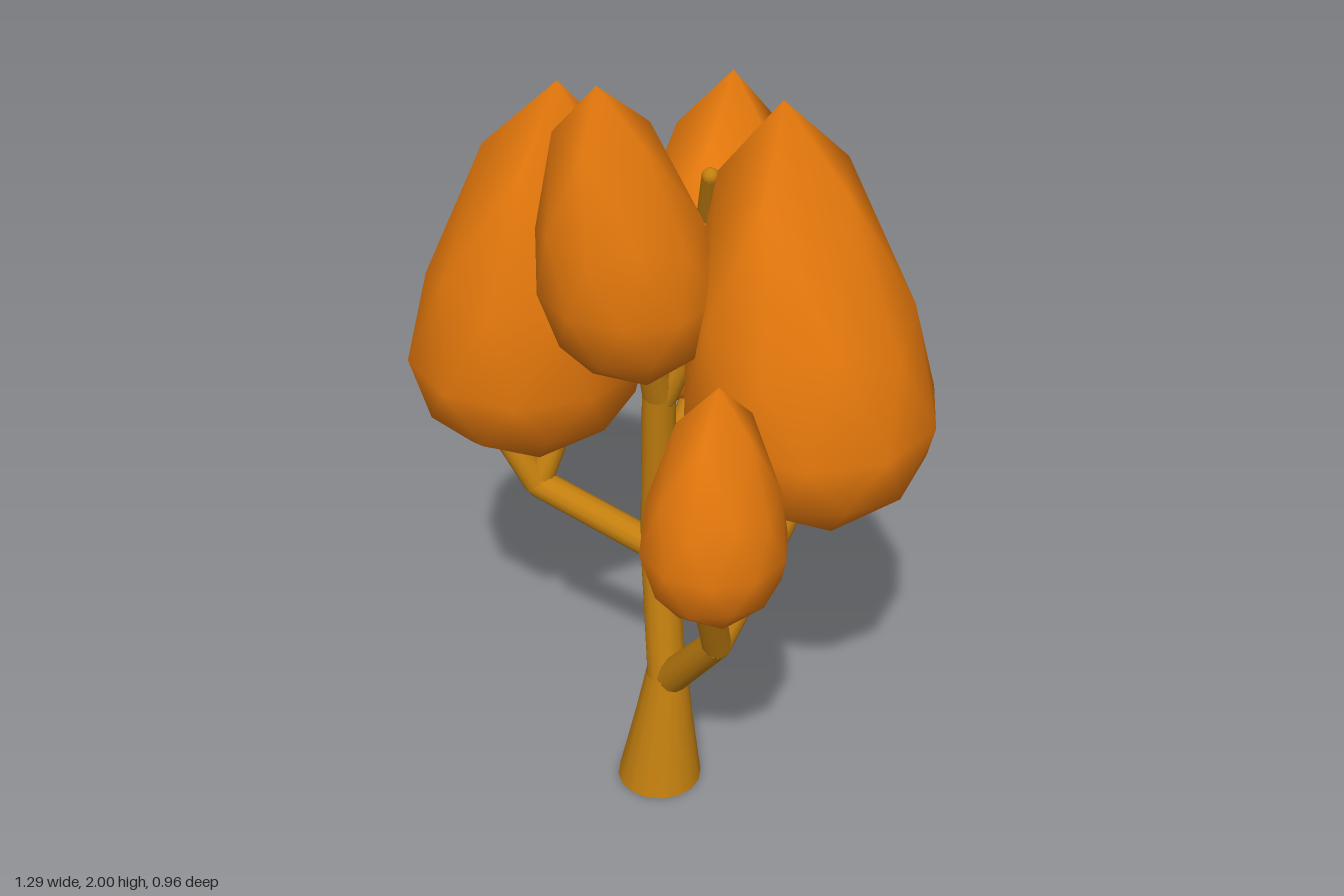
import * as THREE from 'three';
import { mergeVertices } from 'three/addons/utils/BufferGeometryUtils.js';

const bark = new THREE.MeshStandardMaterial({ color: 0xc37f0f, side: THREE.DoubleSide });
bark.name = 'bark';
const leaves = new THREE.MeshStandardMaterial({ color: 0xe4780c });
leaves.name = 'orange leaves';

// Tapered limb through points [x, y, z, radius], with rounded joints
function limb(name, points) {
  const group = new THREE.Group();
  group.name = name;
  for (let i = 0; i < points.length - 1; i++) {
    const [ax, ay, az, ar] = points[i];
    const [bx, by, bz, br] = points[i + 1];
    const a = new THREE.Vector3(ax, ay, az);
    const b = new THREE.Vector3(bx, by, bz);
    const dir = b.clone().sub(a);
    const mesh = new THREE.Mesh(new THREE.CylinderGeometry(br, ar, dir.length(), 12), bark);
    mesh.name = name + 'Segment';
    mesh.position.copy(a).add(b).multiplyScalar(0.5);
    mesh.quaternion.setFromUnitVectors(new THREE.Vector3(0, 1, 0), dir.normalize());
    group.add(mesh);
    const joint = new THREE.Mesh(new THREE.SphereGeometry(br, 12, 8), bark);
    joint.name = name + 'Joint';
    joint.position.copy(b);
    group.add(joint);
  }
  return group;
}

// Low-poly teardrop crown: a sphere drawn up to a leaning point
function crown(name, [cx, cz], radius, [bottom, middle, top], [leanX, leanZ]) {
  let geo = new THREE.IcosahedronGeometry(1, 1);
  geo.rotateX(-Math.atan((1 + Math.sqrt(5)) / 2)); // one corner straight up
  geo.rotateY(Math.PI / 2);
  geo.deleteAttribute('normal');
  geo.deleteAttribute('uv');
  geo = mergeVertices(geo, 1e-4);
  const p = geo.attributes.position;
  for (let i = 0; i < p.count; i++) {
    const t = p.getY(i);
    const lean = t > 0 ? Math.pow(t, 1.6) : t * 0.15;
    const y = t > 0 ? middle + (top - middle) * Math.pow(t, 1.6) : middle + (middle - bottom) * t;
    p.setXYZ(i, cx + p.getX(i) * radius + leanX * lean, y, cz + p.getZ(i) * radius + leanZ * lean);
  }
  geo.computeVertexNormals();
  const mesh = new THREE.Mesh(geo, leaves);
  mesh.name = name;
  return mesh;
}

export function createModel() {
  const tree = new THREE.Group();
  tree.name = 'tree';

  // Flared trunk base, open below; its top meets the bent upper trunk
  const base = new THREE.Mesh(
    new THREE.LatheGeometry([[0.107, 0], [0.074, 0.2], [0.052, 0.35]]
      .map(([r, y]) => new THREE.Vector2(r, y)), 16), bark);
  base.name = 'trunkBase';
  const pos = base.geometry.attributes.position;
  for (let i = 0; i < pos.count; i++) pos.setX(i, pos.getX(i) + 0.07 * pos.getY(i));
  base.position.set(0.011, 0, 0.04);
  tree.add(base);

  tree.add(
    limb('upperTrunk', [[0.035, 0.33, 0.038, 0.05], [-0.02, 0.7, 0.005, 0.046],
      [0.02, 1.17, 0.05, 0.04], [0.04, 1.4, 0.13, 0.03]]),
    // Forks at the head of the trunk
    limb('leftFork', [[0.02, 1.15, 0.05, 0.037], [-0.1, 1.31, -0.03, 0.03]]),
    limb('tallTwig', [[0.02, 1.15, 0.05, 0.037], [0.09, 1.35, 0, 0.034],
      [0.05, 1.58, -0.09, 0.03], [0.1, 1.72, -0.03, 0.02]]),
    limb('backBranch', [[-0.005, 0.88, 0.02, 0.035], [-0.02, 1.06, -0.13, 0.034], [-0.06, 1.2, -0.22, 0.03]]),
    // Low branch on the -x side with two forks
    limb('sideBranch', [[-0.03, 0.69, 0.01, 0.037], [-0.31, 0.81, 0.12, 0.036], [-0.39, 0.97, 0.17, 0.03]]),
    limb('sideFork', [[-0.31, 0.81, 0.12, 0.033], [-0.275, 1.02, 0.035, 0.028]]),
    // Low branch on the +x side, splitting to front and back
    limb('lowBranch', [[0.045, 0.33, 0.04, 0.043], [0.26, 0.6, 0.12, 0.037], [0.36, 0.97, 0.31, 0.03]]),
    limb('lowFork', [[0.26, 0.6, 0.12, 0.036], [0.34, 1.02, -0.13, 0.03]])
  );

  tree.add(
    crown('rightCrown', [-0.367, 0.077], 0.292, [0.89, 1.16, 1.88], [0.117, 0]),
    crown('leftCrown', [0.365, -0.07], 0.292, [0.943, 1.23, 1.94], [-0.095, 0.01]),
    crown('topCrown', [0.033, 0.158], 0.21, [1.275, 1.51, 2], [-0.018, 0.082]),
    crown('smallCrown', [0.405, 0.317], 0.166, [0.875, 1.07, 1.46], [-0.003, -0.012]),
    crown('backCrown', [-0.06, -0.237], 0.228, [1.0, 1.26, 1.79], [-0.06, -0.143])
  );
  return tree;
}
